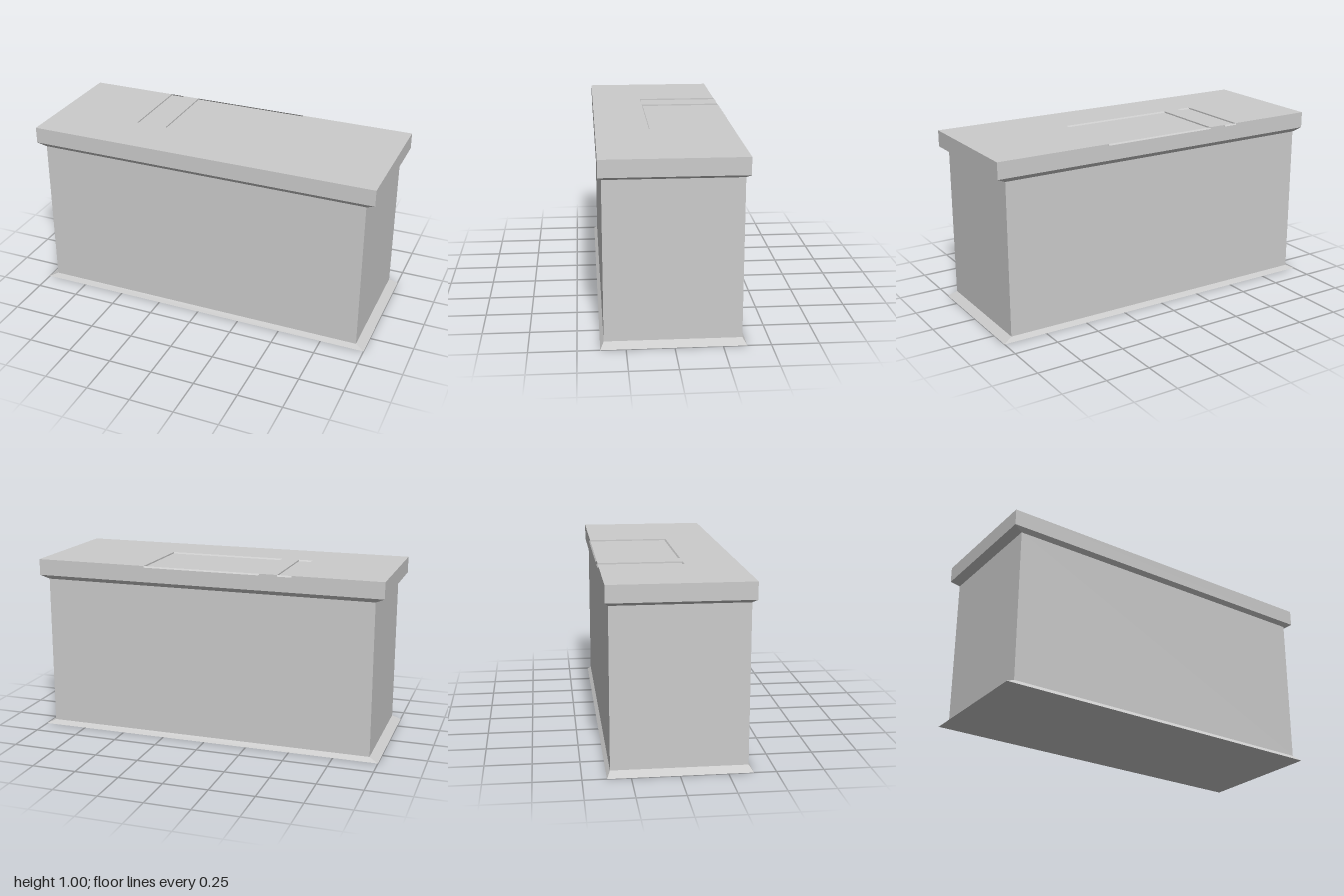
import * as THREE from 'three';

const HALF_X = 1, HALF_Z = 0.378, MID_Z = 0.004, TOP = 1;
const BACK = MID_Z - HALF_Z, FRONT = MID_Z + HALF_Z;
const RECESS_FRONT = 0.087, DEPTH = 0.008, SLIDE = 0.006;
const RECESSES = [[-0.5, -0.42], [-0.32, 0.35]];

// Shallow tray whose floor slides backwards a little as it sinks
function recessGeometry([x0, x1]) {
  const ring = (y, dz) => [
    [x0, y, RECESS_FRONT + dz], [x1, y, RECESS_FRONT + dz],
    [x1, y, BACK + dz], [x0, y, BACK + dz],
  ];
  const rim = ring(TOP, 0), floor = ring(TOP - DEPTH, -SLIDE);
  const pos = [];
  const quad = (a, b, c, d) => pos.push(...a, ...b, ...c, ...a, ...c, ...d);
  quad(...floor);
  for (let i = 0; i < 4; i++) {
    const j = (i + 1) % 4;
    quad(rim[i], rim[j], floor[j], floor[i]);
  }
  const g = new THREE.BufferGeometry();
  g.setAttribute('position', new THREE.Float32BufferAttribute(pos, 3));
  g.computeVertexNormals();
  return g;
}

export function createModel() {
  const group = new THREE.Group();
  const solid = new THREE.MeshStandardMaterial({ color: 0xcccccc, flatShading: true });
  const thin = new THREE.MeshStandardMaterial({ color: 0xcccccc, flatShading: true, side: THREE.DoubleSide });
  const add = (name, geometry, material) => {
    const mesh = new THREE.Mesh(geometry, material);
    mesh.name = name;
    group.add(mesh);
  };

  // Body: flared foot, straight walls and overhanging counter edge, four-sided
  const profile = [[0, 0], [1, 0], [0.95, 0.025], [0.95, 0.885], [1, 0.908], [1, TOP]]
    .map(([r, y]) => new THREE.Vector2(r * Math.SQRT2, y));
  const body = new THREE.LatheGeometry(profile, 4)
    .rotateY(Math.PI / 4)
    .scale(HALF_X, 1, HALF_Z)
    .translate(0, 0, MID_Z)
    .toNonIndexed();
  body.computeVertexNormals();
  add('counterBody', body, solid);

  // Counter top, notched from the back edge where the trays sit
  const outline = new THREE.Shape();
  outline.moveTo(-HALF_X, -FRONT);
  outline.lineTo(HALF_X, -FRONT);
  outline.lineTo(HALF_X, -BACK);
  for (const [x0, x1] of [...RECESSES].reverse()) {
    outline.lineTo(x1, -BACK);
    outline.lineTo(x1, -RECESS_FRONT);
    outline.lineTo(x0, -RECESS_FRONT);
    outline.lineTo(x0, -BACK);
  }
  outline.lineTo(-HALF_X, -BACK);
  const top = new THREE.ShapeGeometry(outline).rotateX(-Math.PI / 2).translate(0, TOP, 0);
  add('counterTop', top, solid);

  // Sunken narrow slot and wide panel
  ['narrowRecess', 'wideRecess'].forEach((name, i) => add(name, recessGeometry(RECESSES[i]), thin));

  return group;
}
